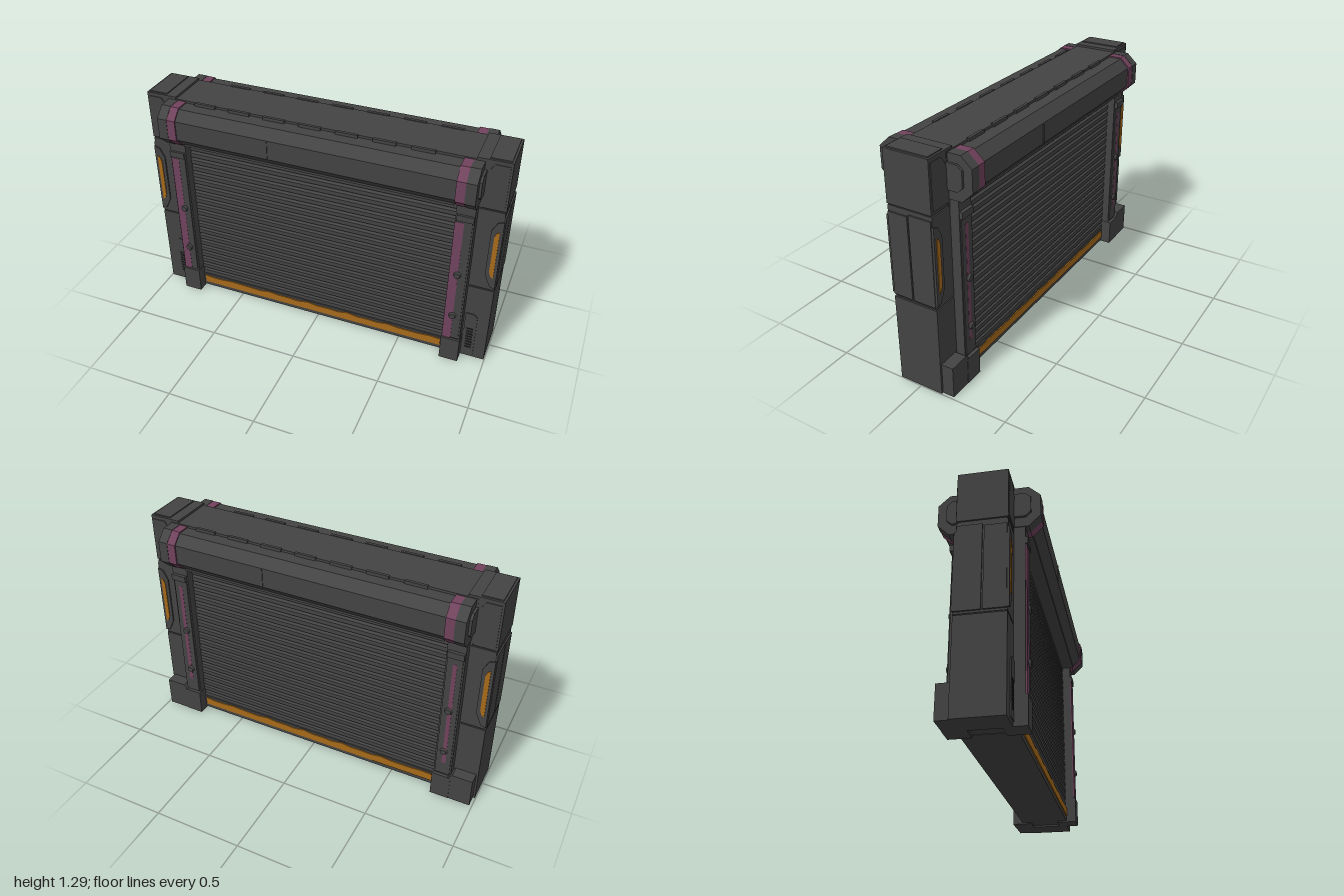
import * as THREE from 'three';

const mat = (name, color) => {
  const m = new THREE.MeshStandardMaterial({ color });
  m.name = name;
  return m;
};

export function createModel() {
  const steel = mat('dark steel', 0x434343);
  const pink = mat('dusty pink paint', 0x70425c);
  const orange = mat('worn orange paint', 0xa66a1a);
  const black = mat('vent black', 0x1e1e1e);
  const model = new THREE.Group();
  model.name = 'rollerShutterGate';

  const add = (parent, name, geo, material) => {
    const mesh = new THREE.Mesh(geo, material);
    mesh.name = name;
    parent.add(mesh);
    return mesh;
  };
  // box given by its extents on each axis
  const box = (parent, name, material, [x0, x1], [y0, y1], [z0, z1]) => {
    const g = new THREE.BoxGeometry(Math.abs(x1 - x0), y1 - y0, z1 - z0);
    g.translate((x0 + x1) / 2, (y0 + y1) / 2, (z0 + z1) / 2);
    return add(parent, name, g, material);
  };
  const shapeOf = pts => new THREE.Shape(pts.map(p => new THREE.Vector2(p[0], p[1])));
  // (z, y) profile swept along x
  const sweepX = (parent, name, material, pts, x0, x1) => {
    const g = new THREE.ExtrudeGeometry(shapeOf(pts), { depth: x1 - x0, bevelEnabled: false });
    g.rotateY(-Math.PI / 2).translate(x1, 0, 0);
    return add(parent, name, g, material);
  };
  // (x, y) outline raised forward from z
  const plate = (parent, name, material, pts, z, depth) => {
    const g = new THREE.ExtrudeGeometry(shapeOf(pts), { depth, bevelEnabled: false });
    g.translate(0, 0, z);
    return add(parent, name, g, material);
  };
  // half-octagon outline of the shutter housing, grown by e
  const drum = e => [
    [0.1, 1.042 - e], [0.2, 1.042 - e], [0.25 + e, 1.095 - e / 2],
    [0.25 + e, 1.205 + e / 2], [0.2, 1.255 + e], [0.1, 1.255 + e],
  ];

  // ribbed curtain, same ribs on both faces
  const slats = 22, bottom = 0.09, pitch = (1.05 - bottom) / slats;
  const ribs = [];
  for (let i = 0; i < slats; i++) {
    const y = bottom + i * pitch;
    ribs.push([0.122, y], [0.134, y + 0.007], [0.134, y + pitch - 0.012], [0.122, y + pitch - 0.002]);
  }
  const curtain = [...ribs, ...ribs.map(([z, y]) => [-z, y]).reverse()];
  sweepX(model, 'shutterCurtain', steel, curtain, -0.77, 0.77);
  box(model, 'bottomBar', steel, [-0.77, 0.77], [0.008, 0.092], [-0.136, 0.136]);
  box(model, 'header', steel, [-0.87, 0.87], [1.0, 1.268], [-0.128, 0.122]);

  // side posts in three stacked blocks with grooves between
  for (const s of [-1, 1]) {
    const post = new THREE.Group();
    post.name = s > 0 ? 'leftPost' : 'rightPost';
    model.add(post);
    box(post, 'postCore', steel, [s * 0.84, s * 0.988], [0.01, 1.27], [-0.118, 0.118]);
    for (const [y0, y1, x] of [[0, 0.496, 0.996], [0.504, 0.996, 0.992], [1.004, 1.28, 0.996]])
      box(post, 'postBlock', steel, [s * (y0 > 1 ? 0.82 : 0.85), s * x], [y0, y1], [-0.126, 0.126]);
    box(post, 'sidePanel', steel, [s * 0.99, s], [0.515, 0.965], [0.012, 0.122]);
    box(post, 'sidePanel', steel, [s * 0.99, s], [0.515, 0.975], [-0.122, 0.004]);
    box(post, 'topPlate', steel, [s * 0.88, s * 0.985], [1.275, 1.286], [-0.115, 0.115]);
    // boot at the back corner, with one clipped top corner
    plate(post, 'rearBoot', steel,
      [[0.765, 0], [0.985, 0], [0.985, 0.175], [0.87, 0.175], [0.84, 0.145], [0.765, 0.145]]
        .map(([x, y]) => [s * x, y]), -0.192, 0.08);
  }

  // everything that repeats on the front and the back
  const buildFace = back => {
    const face = new THREE.Group();
    face.name = back ? 'backFace' : 'frontFace';
    const railZ = back ? 0.182 : 0.188;

    sweepX(face, 'drumHousing', steel, drum(0), -0.82, 0.82);
    box(face, 'drumSeam', steel, [-0.232, -0.226], [1.1, 1.2], [0.245, 0.254]);
    box(face, 'drumLip', steel, [-0.75, 0.75], [1.034, 1.05], [0.12, 0.205]);
    for (let i = 0; i < 7; i++)
      box(face, 'topClip', steel, [-0.7 + i * 0.2, -0.58 + i * 0.2], [1.25, 1.272], [0.12, 0.136]);

    // orange safety strip with a worn upper edge
    const edge = [];
    for (let i = 0; i <= 24; i++)
      edge.push([0.745 - i * 0.0621, 0.079 + 0.007 * Math.sin(i * 2.3) * Math.cos(i * 0.7)]);
    plate(face, 'safetyStrip', orange, [[-0.745, 0.034], [0.745, 0.034], ...edge], 0.133, 0.009);

    for (const s of [-1, 1]) {
      const X = (a, b) => [s * a, s * b];
      const sweep = (name, m, pts, a, b) => sweepX(face, name, m, pts, Math.min(s * a, s * b), Math.max(s * a, s * b));
      sweep('drumBand', pink, drum(0.007), 0.76, 0.808);
      sweep('drumEndCap', steel, drum(0.009), 0.808, 0.862);
      sweep('drumEndPlate', steel,
        [[0.1, 1.085], [0.185, 1.085], [0.212, 1.11], [0.212, 1.195], [0.185, 1.22], [0.1, 1.22]], 0.86, 0.875);

      // guide rail, its foot and its paint
      box(face, 'guideRail', steel, X(0.76, 0.858), [0.01, 1.05], [0, railZ - 0.006]);
      box(face, 'railFace', steel, X(0.768, 0.85), [0.16, 0.96], [0.1, railZ]);
      box(face, 'railFoot', steel, X(0.757, 0.862), [0, 0.15], [0.08, 0.194]);
      box(face, 'railCollar', steel, X(0.768, 0.856), [0.94, 0.975], [0.1, 0.194]);
      const [a, b] = back ? [0.8, 0.822] : s > 0 ? [0.76, 0.808] : [0.806, 0.852];
      box(face, 'railStripe', pink, X(a, b), back ? [0.24, 0.9] : [0.155, 0.93], [railZ - 0.008, railZ + 0.001]);
      for (const y of [0.32, 0.6]) {
        const g = new THREE.CylinderGeometry(0.016, 0.022, 0.016, 12);
        g.rotateX(Math.PI / 2).translate(s * 0.805, y, railZ + 0.005);
        add(face, 'railBolt', g, steel);
      }

      // lamp housing and lamp on the post
      const M = pts => pts.map(([x, y]) => [s * x, y]);
      plate(face, 'lampFrame', steel,
        M([[0.996, 0.52], [0.968, 0.53], [0.936, 0.6], [0.936, 0.88], [0.964, 0.935], [0.996, 0.945]]), 0.12, 0.014);
      plate(face, 'lamp', orange,
        M([[0.98, 0.59], [0.965, 0.6], [0.956, 0.63], [0.956, 0.85], [0.965, 0.875], [0.98, 0.885]]), 0.13, 0.008);

      // lower vent on the front only
      if (!back) {
        plate(face, 'ventPanel', steel,
          M([[0.866, 0.02], [0.932, 0.02], [0.932, 0.29], [0.915, 0.31], [0.866, 0.31]]), 0.12, 0.012);
        for (let i = 0; i < 8; i++)
          box(face, 'ventSlot', black, X(0.882, 0.918), [0.065 + i * 0.019, 0.075 + i * 0.019], [0.128, 0.134]);
      }
      plate(face, 'upperPostPanel', steel,
        M([[0.87, 1.02], [0.985, 1.02], [0.985, 1.26], [0.91, 1.26], [0.87, 1.2]]), 0.12, 0.01);
    }
    if (back) face.rotation.y = Math.PI;
    return face;
  };
  model.add(buildFace(false), buildFace(true));
  return model;
}
